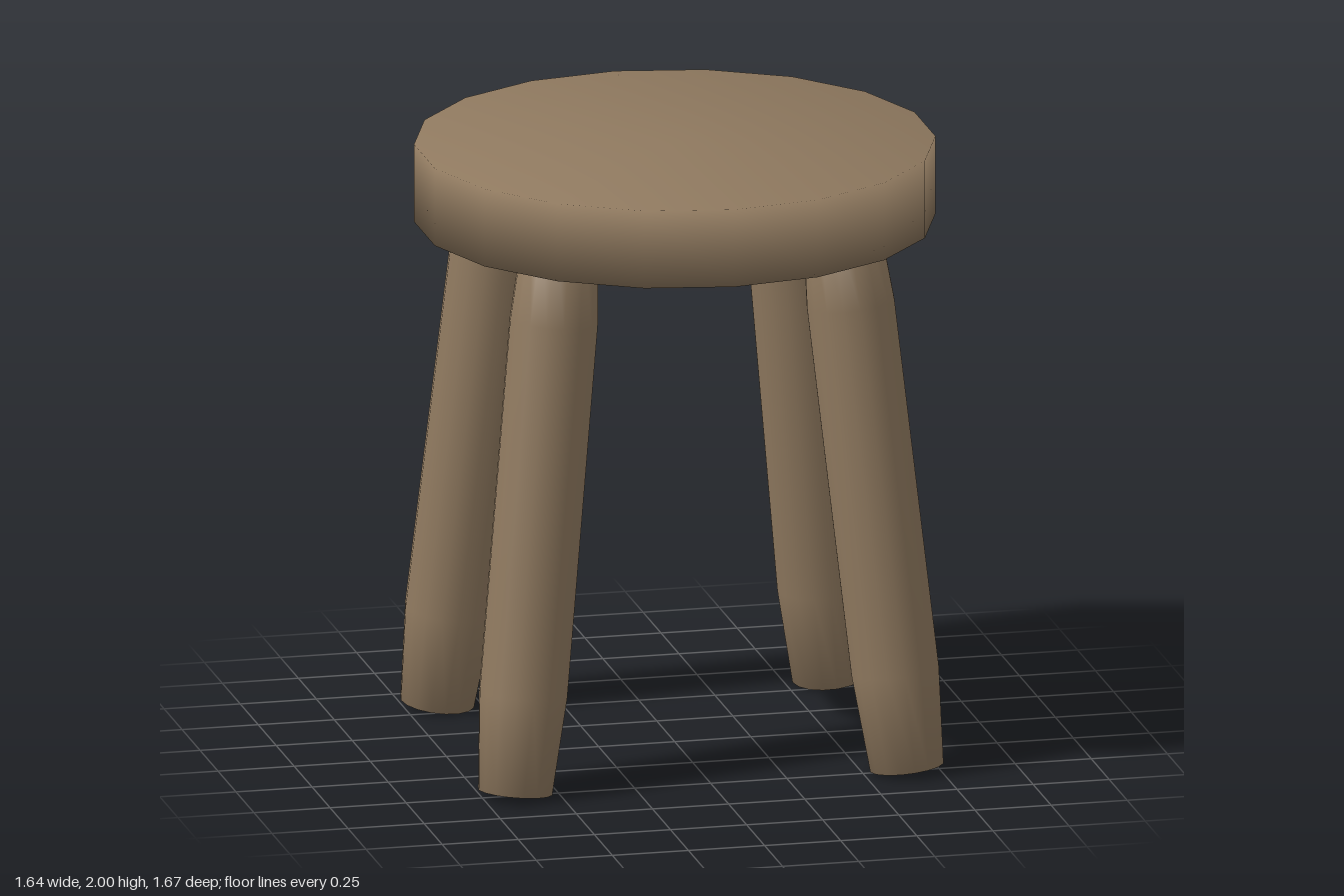
import * as THREE from 'three';

// Closed, smoothly shaded turned solid from [radius, height] pairs, bottom to top
function turned(profile, sides) {
  return new THREE.LatheGeometry(profile.map(([r, y]) => new THREE.Vector2(r, y)), sides);
}

export function createModel() {
  const group = new THREE.Group();
  group.name = 'stool';

  const wood = new THREE.MeshStandardMaterial({ color: 0x8f795f });
  wood.name = 'brown wood';

  // Round seat
  const seat = new THREE.Mesh(
    turned([[0, 1.743], [0.835, 1.743], [0.835, 2], [0, 2]], 18), wood);
  seat.name = 'seat';
  group.add(seat);

  // Four splayed legs, tapered at both ends; the tops are sunk into the seat
  const length = 1.85;
  const legGeometry = turned(
    [[0, 0], [0.12, 0], [0.143, 0.32], [0.143, 1.53], [0.12, length], [0, length]], 16);
  const up = new THREE.Vector3(0, 1, 0);
  for (const sz of [1, -1]) {
    for (const sx of [1, -1]) {
      const leg = new THREE.Mesh(legGeometry, wood);
      leg.name = (sz > 0 ? 'front' : 'back') + (sx > 0 ? 'Left' : 'Right') + 'Leg';
      leg.position.set(sx * 0.643, 0.017, -0.038 + sz * 0.542);
      const axis = new THREE.Vector3(-sx * 0.1025, 1, -sz * 0.081).normalize();
      leg.quaternion.setFromUnitVectors(up, axis);
      group.add(leg);
    }
  }
  return group;
}
